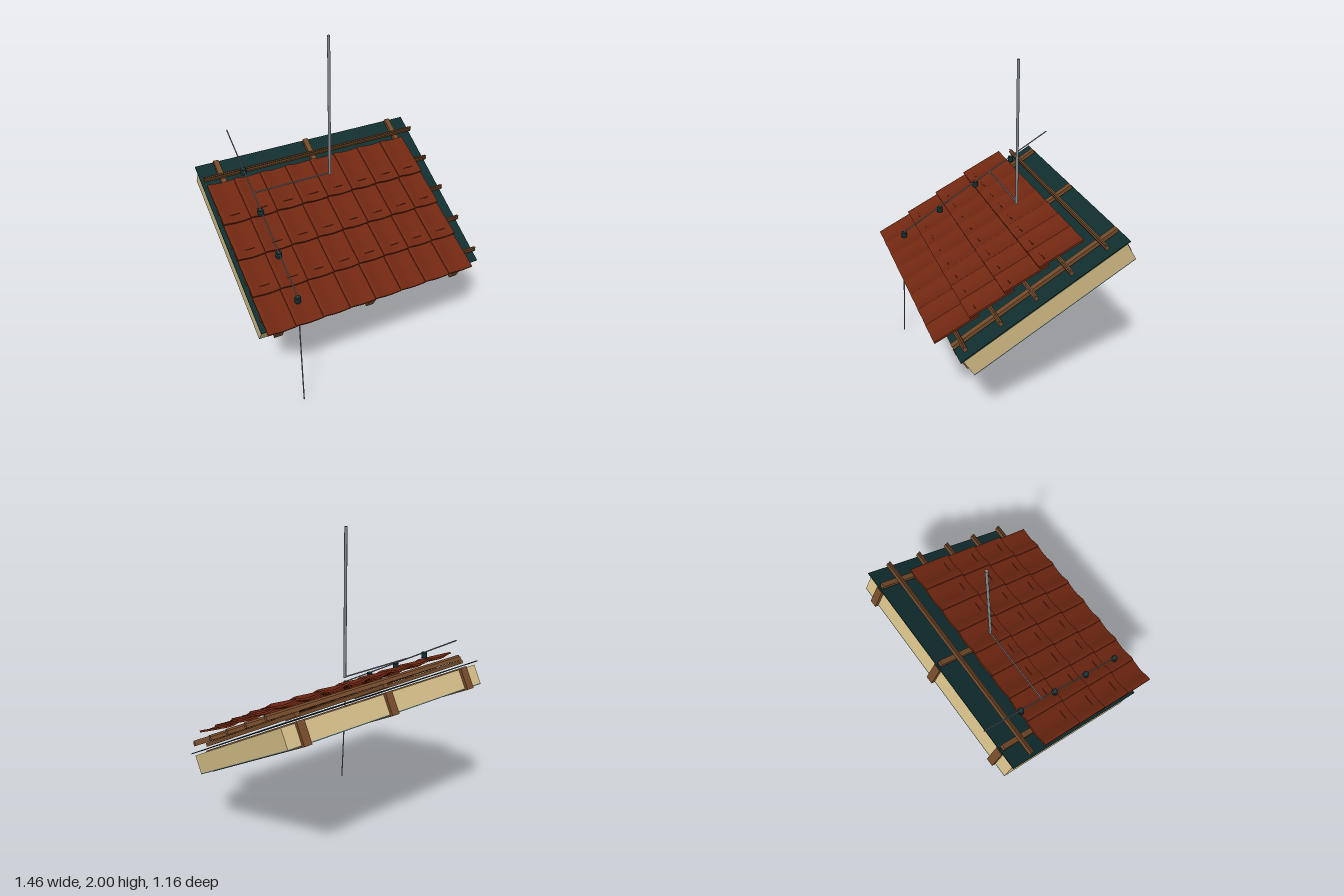
import * as THREE from 'three';

const mat = (name, color, side = THREE.FrontSide) => {
  const m = new THREE.MeshStandardMaterial({ color, side });
  m.name = name;
  return m;
};

export function createModel() {
  const wood = mat('wood', 0x744a2a);
  const insulationTan = mat('insulation tan', 0xd0ba84);
  const darkTeal = mat('dark teal', 0x112e2f);
  const liningTeal = mat('lining teal', 0x587676);
  const clay = mat('clay red', 0x702711);
  const steel = mat('steel grey', 0x81878a);

  const model = new THREE.Group();
  model.name = 'roofSection';

  // Everything in the slope group uses y = roof normal, z = down the slope
  const slope = new THREE.Group();
  slope.name = 'slopedRoof';
  slope.rotation.x = Math.PI / 6;
  model.add(slope);

  const add = (parent, name, geometry, material) => {
    const mesh = new THREE.Mesh(geometry, material);
    mesh.name = name;
    parent.add(mesh);
    return mesh;
  };
  // Box given by its min and max on each axis
  const slab = (name, material, [x0, x1], [y0, y1], [z0, z1]) => {
    const mesh = add(slope, name, new THREE.BoxGeometry(x1 - x0, y1 - y0, z1 - z0), material);
    mesh.position.set((x0 + x1) / 2, (y0 + y1) / 2, (z0 + z1) / 2);
    return mesh;
  };

  // Layers from the inside out
  slab('innerLining', liningTeal, [-0.715, 0.715], [0.611, 0.617], [-0.998, 0.094]);
  slab('insulation', insulationTan, [-0.715, 0.715], [0.617, 0.733], [-0.998, 0.094]);
  slab('membrane', darkTeal, [-0.73, 0.73], [0.747, 0.753], [-1.018, 0.108]);

  // Rafters with counter battens above them
  for (const x of [-0.603, 0, 0.603]) {
    slab('rafter', wood, [x - 0.025, x + 0.025], [0.603, 0.74], [-1.018, 0.114]);
    slab('counterBatten', wood, [x - 0.016, x + 0.016], [0.763, 0.786], [-1.01, 0.104]);
  }

  // Tile battens with a narrow upper lip
  const pitch = 0.2333;
  for (let i = 0; i < 5; i++) {
    const z = 0.044 - i * pitch;
    slab('tileBatten', wood, [-0.72, 0.72], [0.788, 0.811], [z - 0.012, z + 0.012]);
    slab('battenLip', wood, [-0.72, 0.72], [0.811, 0.822], [z - 0.004, z + 0.004]);
  }

  // Tile course: a rolled profile repeated over eight columns, extruded down the slope
  const columns = 8, left = -0.73, tileWidth = 1.335 / columns, half = 0.006;
  const roll = [[0, 0.006], [0.1, 0.008], [0.22, 0.004], [0.4, -0.003], [0.6, -0.005], [0.8, -0.002], [0.92, 0.001], [1, 0.001]];
  const centreLine = [];
  for (let c = 0; c < columns; c++) {
    for (const [t, h] of roll) centreLine.push([left + (c + Math.min(t, 0.995)) * tileWidth, h]);
  }
  const profile = [
    ...centreLine.map(([x, h]) => new THREE.Vector2(x, h - half)),
    ...centreLine.slice().reverse().map(([x, h]) => new THREE.Vector2(x, h + half)),
  ];
  const courseGeometry = new THREE.ExtrudeGeometry(new THREE.Shape(profile), { depth: 0.287, bevelEnabled: false });
  const lugGeometry = new THREE.BoxGeometry(0.08, 0.008, 0.006);
  for (let i = 0; i < 4; i++) {
    const course = new THREE.Group();
    course.name = 'tileCourse';
    course.position.set(0, 0.843, -0.12 - i * pitch);
    course.rotation.x = -0.083;
    slope.add(course);
    add(course, 'tiles', courseGeometry, clay);
    if (i === 3) continue;
    // Small lugs just above the front edge of the next course
    for (let c = 0; c < columns; c++) {
      add(course, 'tileLug', lugGeometry, clay).position.set(left + (c + 0.5) * tileWidth, 0.022, 0.0);
    }
  }

  // Lightning conductor: rods between two points
  const rod = (name, a, b, radius) => {
    const from = new THREE.Vector3(...a), to = new THREE.Vector3(...b);
    const dir = to.clone().sub(from);
    const mesh = add(model, name, new THREE.CylinderGeometry(radius, radius, dir.length(), 8), steel);
    mesh.position.copy(from).add(to).multiplyScalar(0.5);
    mesh.quaternion.setFromUnitVectors(new THREE.Vector3(0, 1, 0), dir.normalize());
  };
  rod('lightningMast', [0, 1.112, -0.13], [0, 2, -0.13], 0.009);
  rod('crossConductor', [-0.5, 1.117, -0.133], [0, 1.117, -0.133], 0.0045);
  rod('slopeConductor', [-0.5, 0.77, 0.467], [-0.5, 1.345, -0.533], 0.004);
  rod('downConductor', [-0.5, 0.772, 0.465], [-0.5, 0, 0.505], 0.004);

  // Conductor holders
  const holderGeometry = new THREE.CylinderGeometry(0.018, 0.018, 0.034, 12);
  for (let i = 0; i < 4; i++) {
    add(model, 'conductorHolder', holderGeometry, darkTeal).position.set(-0.5, 0.753 + i * 0.1435, 0.465 - i * 0.249);
  }

  return model;
}
